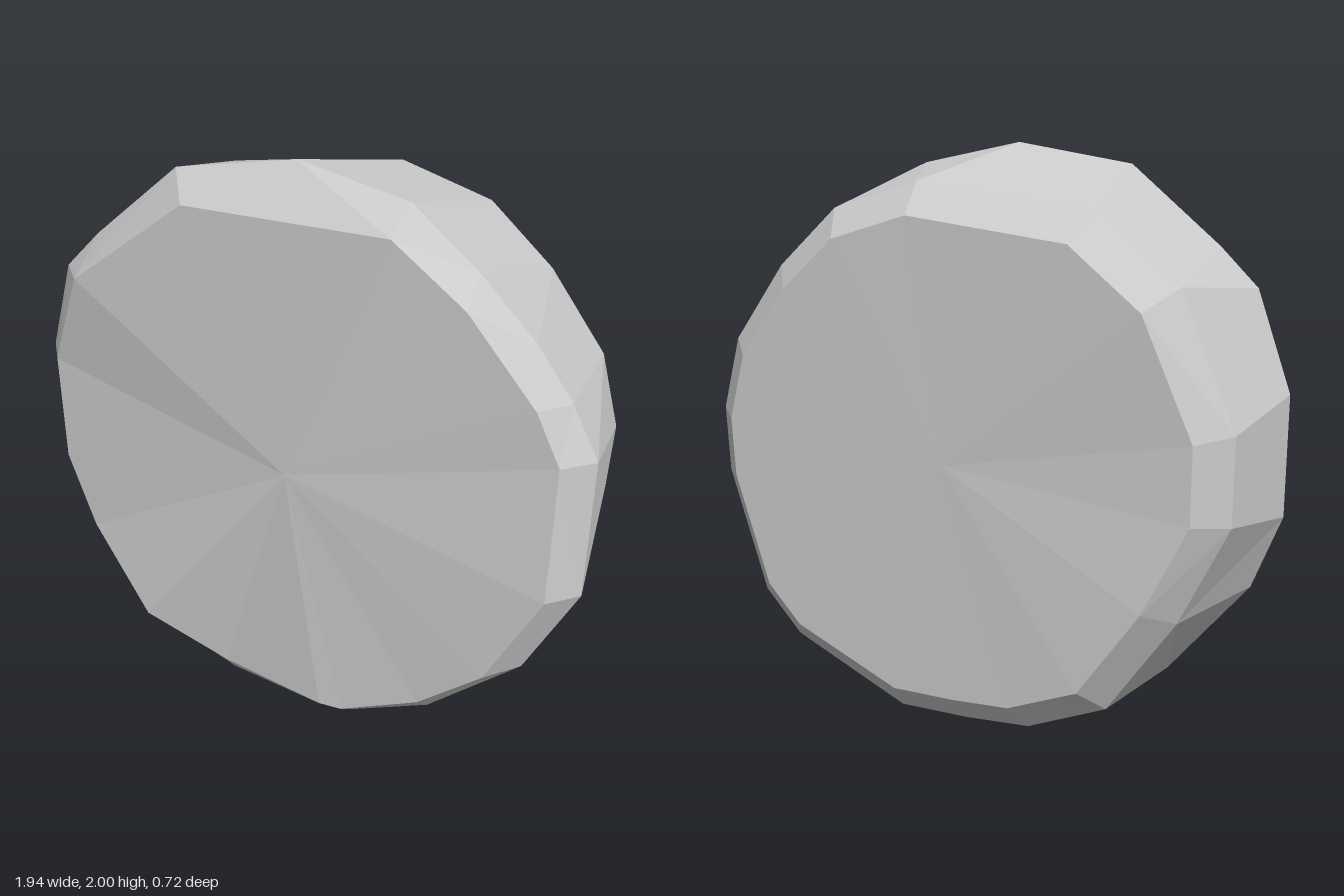
import * as THREE from 'three';

const CY = 1; // height of the disc's centre
const TAU = Math.PI * 2;

// Cross-sections [x, y, z], clockwise as seen from the front
const frontFace = [
  [0.35, 1.85, 0.36], [0.58, 1.67, 0.35], [0.8, 1.4, 0.34], [0.88, 1.23, 0.335],
  [0.88, 0.77, 0.36], [0.7, 0.42, 0.36], [0.48, 0.23, 0.35], [0.2, 0.1, 0.355],
  [0.12, 0.1, 0.36], [-0.27, 0.13, 0.32], [-0.57, 0.27, 0.36], [-0.8, 0.56, 0.31],
  [-0.89, 0.83, 0.31], [-0.89, 1.21, 0.31], [-0.75, 1.54, 0.355], [-0.33, 1.85, 0.36],
];
const frontRim = [
  [0, 2, 0.24], [0.37, 1.93, 0.26], [0.58, 1.75, 0.25], [0.76, 1.56, 0.24],
  [0.88, 1.4, 0.245], [0.97, 1.23, 0.25], [0.97, 0.77, 0.27], [0.8, 0.43, 0.26],
  [0.48, 0.14, 0.25], [0.21, 0.02, 0.25], [0.02, 0, 0.25], [-0.28, 0.045, 0.25],
  [-0.58, 0.18, 0.26], [-0.87, 0.54, 0.22], [-0.97, 0.8, 0.21], [-0.97, 1.21, 0.21],
  [-0.84, 1.54, 0.26], [-0.71, 1.67, 0.26], [-0.4, 1.93, 0.26],
];
const backFace = [
  [0.12, 1.78, -0.355], [0.39, 1.7, -0.355], [0.58, 1.53, -0.355], [0.75, 1.3, -0.355],
  [0.81, 1.08, -0.355], [0.8, 0.88, -0.355], [0.68, 0.5, -0.355], [0.56, 0.37, -0.355],
  [0.19, 0.2, -0.35], [-0.03, 0.2, -0.35], [-0.23, 0.21, -0.35], [-0.47, 0.31, -0.355],
  [-0.67, 0.6, -0.35], [-0.81, 0.89, -0.33], [-0.81, 1.14, -0.33],
  [-0.65, 1.52, -0.355], [-0.42, 1.71, -0.36],
];
// The back rim is the back outline grown outwards and moved forward
const backRim = backFace.map(([x, y]) => [x * 1.125, CY + (y - CY) * 1.13, -0.25 + 0.02 * x * (x < 0 ? -1 : 0)]);

const angle = ([x, y]) => (Math.atan2(x, y - CY) + TAU) % TAU;
const sorted = (ring) => [...ring].sort((a, b) => angle(a) - angle(b));

// Zips two rings of different counts together with triangles
function band(front, back, out) {
  const a = sorted(front), b = sorted(back);
  const next = (r, i) => (i + 1 < r.length ? angle(r[i + 1]) : angle(r[0]) + TAU);
  let i = 0, j = 0;
  while (i < a.length || j < b.length) {
    const p = a[i % a.length], q = b[j % b.length];
    if (j >= b.length || (i < a.length && next(a, i) <= next(b, j))) {
      i++;
      out.push(p, a[i % a.length], q);
    } else {
      j++;
      out.push(p, b[j % b.length], q);
    }
  }
}

// Closes a ring with a fan around a centre point
function cap(ring, z, facesFront, out) {
  const r = sorted(ring), c = [0, CY, z];
  r.forEach((p, i) => {
    const q = r[(i + 1) % r.length];
    if (facesFront) out.push(c, q, p);
    else out.push(c, p, q);
  });
}

function part(name, build) {
  const tris = [];
  build(tris);
  const geometry = new THREE.BufferGeometry();
  geometry.setAttribute('position', new THREE.Float32BufferAttribute(tris.flat(), 3));
  geometry.computeVertexNormals();
  const material = new THREE.MeshStandardMaterial({ color: 0xcccccc, flatShading: true });
  const mesh = new THREE.Mesh(geometry, material);
  mesh.name = name;
  return mesh;
}

export function createModel() {
  const group = new THREE.Group();
  group.name = 'stoneDisc';
  group.add(
    part('frontFace', (t) => cap(frontFace, 0.36, true, t)),
    part('frontChamfer', (t) => band(frontFace, frontRim, t)),
    part('sideWall', (t) => band(frontRim, backRim, t)),
    part('backChamfer', (t) => band(backRim, backFace, t)),
    part('backFace', (t) => cap(backFace, -0.36, false, t)),
  );
  return group;
}
